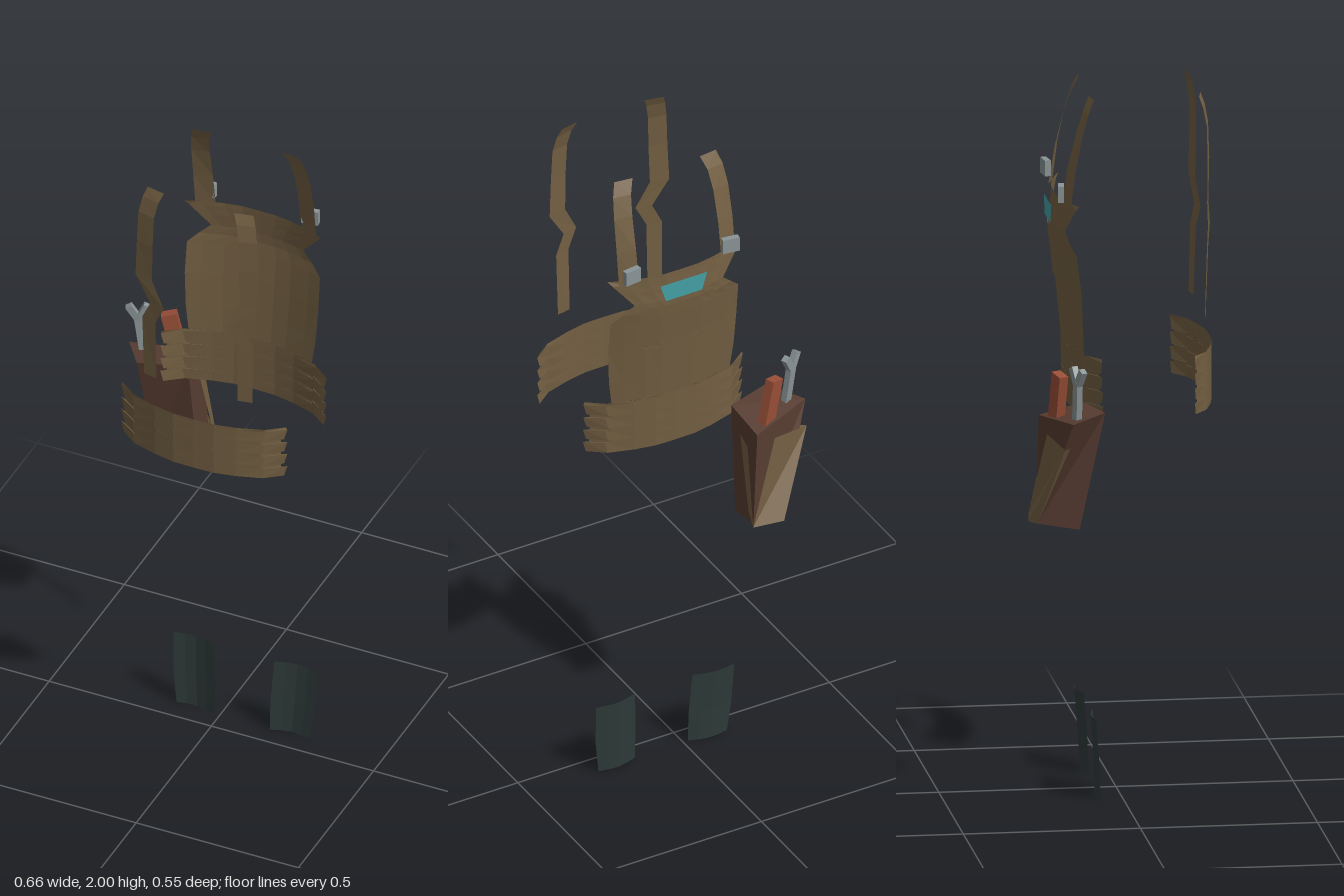
import * as THREE from 'three';

const CX = 0.07; // symmetry line of the worn pieces
const mat = (name, color) => {
  const m = new THREE.MeshStandardMaterial({ color, side: THREE.DoubleSide });
  m.name = name;
  return m;
};

// piecewise linear lookup through [key, value] pairs
function lerpTable(table, k) {
  for (let i = 1; i < table.length; i++) {
    const [a, va] = table[i - 1], [b, vb] = table[i];
    if (k <= b) return va + (vb - va) * Math.max(0, (k - a) / (b - a));
  }
  return table[table.length - 1][1];
}
// how far a worn sheet wraps around the body at distance u from the middle
const BEND = [[0, 0], [0.06, 0.001], [0.12, 0.012], [0.2, 0.036], [0.25, 0.075]];
const bend = (u) => lerpTable(BEND, Math.abs(u));
// depth of the back panel along its height
const LEAN = [[1.1, -0.135], [1.28, -0.14], [1.5, -0.161], [1.6, -0.174], [1.7, -0.167]];
const backZ = (u, y) => lerpTable(LEAN, y) + bend(u);

// flat-faceted sheet through rows of points
function sheet(rows) {
  const pos = [];
  for (let i = 0; i + 1 < rows.length; i++) {
    for (let j = 0; j + 1 < rows[i].length; j++) {
      const a = rows[i][j], b = rows[i][j + 1], c = rows[i + 1][j + 1], d = rows[i + 1][j];
      pos.push(...a, ...b, ...c, ...a, ...c, ...d);
    }
  }
  const g = new THREE.BufferGeometry();
  g.setAttribute('position', new THREE.Float32BufferAttribute(pos, 3));
  g.computeVertexNormals();
  return g;
}

// wrapped sheet from [y, half width] rows
const COLS = [-1, -0.8, -0.5, -0.25, 0, 0.25, 0.5, 0.8, 1];
const wrapped = (rows, zAt) =>
  sheet(rows.map(([y, w]) => COLS.map((c) => [CX + c * w, y, zAt(c * w, y)])));

// belt rows with notched ends
function beltRows(bottom, top) {
  const rows = [], n = 4, h = (top - bottom) / n;
  for (let i = 0; i < n; i++) {
    const y = bottom + i * h;
    rows.push([y, 0.247], [y + h * 0.8, 0.256]);
    if (i < n - 1) rows.push([y + h * 0.8, 0.24], [y + h, 0.24]);
  }
  rows.push([top, 0.252]);
  return rows;
}

// box stretched between two points
function bar(a, b, w, d, material, spin = 0) {
  const A = new THREE.Vector3(...a), B = new THREE.Vector3(...b);
  const g = new THREE.BoxGeometry(w, A.distanceTo(B), d);
  g.rotateY(spin);
  const m = new THREE.Mesh(g, material);
  m.position.copy(A).add(B).multiplyScalar(0.5);
  m.quaternion.setFromUnitVectors(new THREE.Vector3(0, 1, 0), B.sub(A).normalize());
  return m;
}

export function createModel() {
  const canvas = mat('tan canvas', 0x735f42);
  const leather = mat('brown leather', 0x573c31);
  const rubber = mat('dark rubber', 0x2e3b39);
  const steel = mat('steel', 0x8a9496);
  const handleRed = mat('rust handle', 0x9a4f38);
  const teal = mat('teal label', 0x43a0a4);

  const model = new THREE.Group();
  const add = (name, obj, material, parent = model) => {
    const m = obj.isBufferGeometry ? new THREE.Mesh(obj, material) : obj;
    m.name = name;
    parent.add(m);
    return m;
  };

  // back of the garment: panel with a pinched neck, and belt wings
  add('backPanel', wrapped([
    [1.275, 0.19], [1.35, 0.2], [1.46, 0.206], [1.56, 0.205], [1.59, 0.175],
    [1.62, 0.142], [1.66, 0.175], [1.69, 0.2], [1.705, 0.211],
  ], backZ), canvas);
  add('backBelt', wrapped(beltRows(1.105, 1.275), backZ), canvas);

  // pocket and label, sitting just off the panel
  add('backPocket', wrapped([
    [1.455, 0.105], [1.475, 0.13], [1.57, 0.13], [1.605, 0.1],
  ], (u, y) => backZ(u, y) - 0.005), canvas);
  add('label', wrapped([[1.625, 0.058], [1.68, 0.075]], (u) => -0.184 + bend(u) * 0.3), teal);

  // front belt
  add('frontBelt', wrapped(beltRows(1.107, 1.275), (u) => 0.273 - bend(u)), canvas);

  // straps as [y, outer x, inner x, outer z, inner z]
  const frontStrap = [
    [2, -0.093, -0.038, 0.222, 0.233], [1.97, -0.104, -0.05, 0.232, 0.244],
    [1.92, -0.113, -0.06, 0.241, 0.252], [1.82, -0.117, -0.063, 0.243, 0.255],
    [1.7, -0.122, -0.066, 0.241, 0.252], [1.62, -0.072, -0.025, 0.25, 0.262],
    [1.56, -0.1, -0.055, 0.243, 0.253], [1.36, -0.097, -0.055, 0.238, 0.246],
  ];
  const backStrap = [
    [2, -0.093, -0.038, -0.075, -0.082], [1.96, -0.106, -0.053, -0.092, -0.1],
    [1.9, -0.113, -0.06, -0.11, -0.12], [1.8, -0.116, -0.062, -0.13, -0.145],
    [1.69, -0.116, -0.062, -0.144, -0.163],
  ];
  // heel guards as [y, outer x, inner x, z shift]
  const guard = [[0, -0.136, -0.015, 0], [0.1, -0.148, -0.015, -0.005], [0.23, -0.152, -0.022, -0.014]];

  for (const side of [-1, 1]) {
    const label = side < 0 ? 'right' : 'left';
    const mx = (x) => (side < 0 ? x : 2 * CX - x);
    const ribbon = (pts) => sheet(pts.map(([y, xo, xi, zo, zi]) => [[mx(xo), y, zo], [mx(xi), y, zi]]));
    add(label + 'FrontStrap', ribbon(frontStrap), canvas);
    add(label + 'BackStrap', ribbon(backStrap), canvas);

    const buckle = add(label + 'Buckle', new THREE.BoxGeometry(0.05, 0.045, 0.017), steel);
    buckle.position.set(mx(-0.088), 1.735, -0.167);
    buckle.rotation.y = -side * -0.13 * -1 * -1;

    // curved guard behind the heel
    add(label + 'HeelGuard', sheet(guard.map(([y, xo, xi, s]) =>
      [[0, -0.062], [0.25, -0.068], [0.5, -0.07], [0.75, -0.064], [1, -0.054]].map(([t, z]) =>
        [mx(xo + (xi - xo) * t), y, z + s]))), rubber);
  }

  // tapered tool pouch: four top and four bottom corners
  const pouch = new THREE.Group();
  pouch.name = 'toolPouch';
  model.add(pouch);
  const top = [[-0.33, 1.125, -0.165], [-0.26, 1.14, -0.066], [-0.123, 1.14, -0.11], [-0.135, 1.11, -0.237]];
  const low = [[-0.21, 0.815, -0.25], [-0.237, 0.8, -0.135], [-0.113, 0.81, -0.15], [-0.12, 0.815, -0.242]];
  add('pouchWalls', sheet([[...low, low[0]], [...top, top[0]]]), leather, pouch);
  add('pouchTop', sheet([[top[0], top[1]], [top[3], top[2]]]), leather, pouch);
  add('pouchBase', sheet([[low[0], low[1]], [low[3], low[2]]]), leather, pouch);

  // canvas flap across the outer corner of the pouch
  const f = {
    a: [-0.2, 1.07, -0.222], b: [-0.322, 1.05, -0.187],
    c: [-0.2, 0.82, -0.275], d: [-0.108, 0.82, -0.262],
  };
  add('pouchFlap', sheet([[f.b, f.a], [f.c, f.d]]), canvas, pouch);
  add('pouchFlapSide', sheet([[[-0.118, 1.08, -0.17], [-0.119, 1.06, -0.21]],
    [[-0.108, 0.86, -0.235], f.d]]), canvas, pouch);
  add('pouchFlapBase', sheet([[f.c, f.d], [low[0], low[3]]]), canvas, pouch);
  add('pouchFlapEdge', sheet([[f.b, f.c], [[-0.3, 1.05, -0.17], low[0]]]), canvas, pouch);

  // tools standing in the pouch
  add('toolHandle', bar([-0.185, 1.1, -0.195], [-0.218, 1.245, -0.188], 0.045, 0.028, handleRed, 0.4),
    null, pouch);
  const wrench = new THREE.Group();
  wrench.name = 'wrench';
  pouch.add(wrench);
  const fork = [-0.293, 1.228, -0.148];
  add('wrenchStem', bar([-0.272, 1.09, -0.148], fork, 0.024, 0.018, steel, 0.4), null, wrench);
  add('wrenchOuterJaw', bar(fork, [-0.318, 1.275, -0.136], 0.02, 0.018, steel, 0.4), null, wrench);
  add('wrenchInnerJaw', bar(fork, [-0.27, 1.277, -0.158], 0.02, 0.018, steel, 0.4), null, wrench);

  return model;
}
